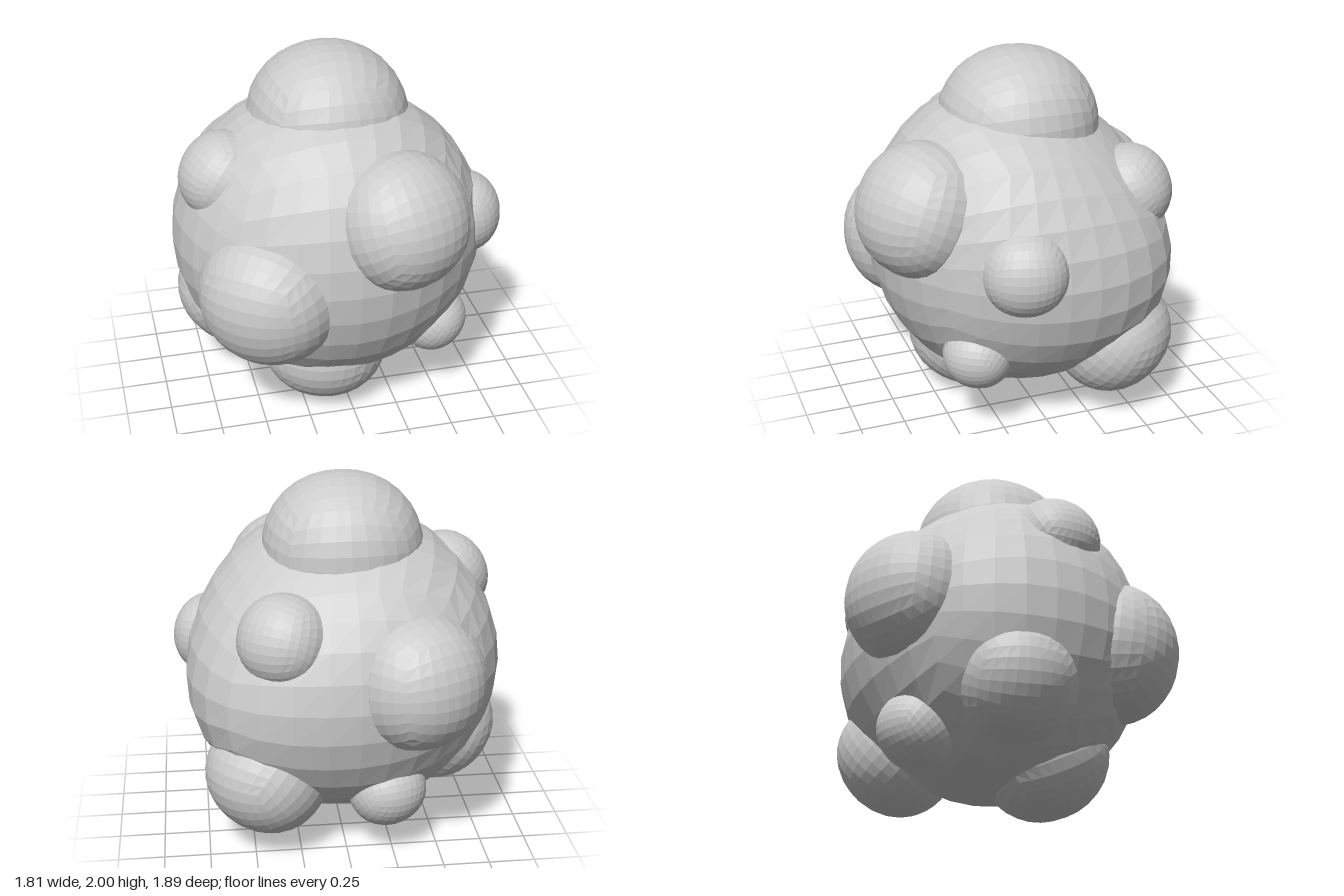
import * as THREE from 'three';
import { mergeVertices } from 'three/addons/utils/BufferGeometryUtils.js';

const material = new THREE.MeshStandardMaterial({ color: 0xcccccc, flatShading: true });

// A cube subdivided and rounded into a slightly boxy unit ball of quads
function quadSphere(segments, power) {
  let geo = new THREE.BoxGeometry(2, 2, 2, segments, segments, segments);
  geo.deleteAttribute('uv');
  geo.deleteAttribute('normal');
  geo = mergeVertices(geo);
  const pos = geo.attributes.position;
  const v = new THREE.Vector3();
  const even = (c) => Math.tan(c * Math.PI / 4);
  for (let i = 0; i < pos.count; i++) {
    v.fromBufferAttribute(pos, i);
    v.set(even(v.x), even(v.y), even(v.z));
    const n = Math.abs(v.x) ** power + Math.abs(v.y) ** power + Math.abs(v.z) ** power;
    v.divideScalar(n ** (1 / power));
    pos.setXYZ(i, v.x, v.y, v.z);
  }
  geo.computeVertexNormals();
  return geo;
}

export function createModel() {
  const group = new THREE.Group();
  group.name = 'lumpyBall';
  const center = new THREE.Vector3(-0.04, 0.94, 0);

  // Main body: a coarse ball, a little wider in x, swollen or flattened in some directions
  const bodyGeo = quadSphere(8, 2);
  const pos = bodyGeo.attributes.position;
  const v = new THREE.Vector3();
  const radii = new THREE.Vector3(0.865, 0.84, 0.815);
  const swellings = [
    { dir: new THREE.Vector3(0.18, 0.82, 0.52).normalize(), amount: 0.055, power: 4 },
    { dir: new THREE.Vector3(0.72, -0.18, -0.67).normalize(), amount: 0.115, power: 6 },
    { dir: new THREE.Vector3(0.34, 0.84, -0.42).normalize(), amount: -0.06, power: 4 },
  ];
  for (let i = 0; i < pos.count; i++) {
    v.fromBufferAttribute(pos, i);
    let grow = 1;
    for (const s of swellings) grow += s.amount * Math.max(0, v.dot(s.dir)) ** s.power;
    v.multiply(radii).multiplyScalar(grow);
    pos.setXYZ(i, v.x, v.y, v.z);
  }
  bodyGeo.computeVertexNormals();
  const body = new THREE.Mesh(bodyGeo, material);
  body.name = 'body';
  body.position.copy(center);
  group.add(body);

  // Bumps: name, centre x, y, z, radius
  const bumps = [
    ['topBump', -0.03, 1.58, -0.02, 0.42],
    ['upperFrontBump', 0.215, 1.245, 0.59, 0.35],
    ['frontRightBump', -0.455, 0.845, 0.5, 0.365],
    ['leftSideBump', 0.68, 1.03, 0.195, 0.222],
    ['upperRightBump', -0.625, 1.365, 0.11, 0.233],
    ['upperBackLeftBump', 0.33, 1.255, -0.53, 0.235],
    ['lowerFrontLeftBump', 0.48, 0.48, 0.39, 0.18],
    ['lowerBackLeftBump', 0.425, 0.44, -0.415, 0.32],
    ['backRightBump', -0.36, 1.02, -0.585, 0.347],
    ['lowerRightBump', -0.565, 0.55, -0.09, 0.31],
    ['bottomFrontBump', -0.11, 0.34, 0.245, 0.338],
    ['lowerBackRightBump', -0.22, 0.355, -0.5, 0.203],
  ];
  const bumpGeo = quadSphere(8, 2.08);
  for (const [name, x, y, z, r] of bumps) {
    const bump = new THREE.Mesh(bumpGeo, material);
    bump.name = name;
    bump.position.set(x, y, z);
    // Each bump faces straight out from the body and is a little wider than deep
    if (name === 'topBump') bump.rotation.x = -Math.PI / 2;
    else bump.lookAt(2 * x - center.x, 2 * y - center.y, 2 * z - center.z);
    bump.scale.set(r * 1.05, r * 1.05, r);
    group.add(bump);
  }
  return group;
}
